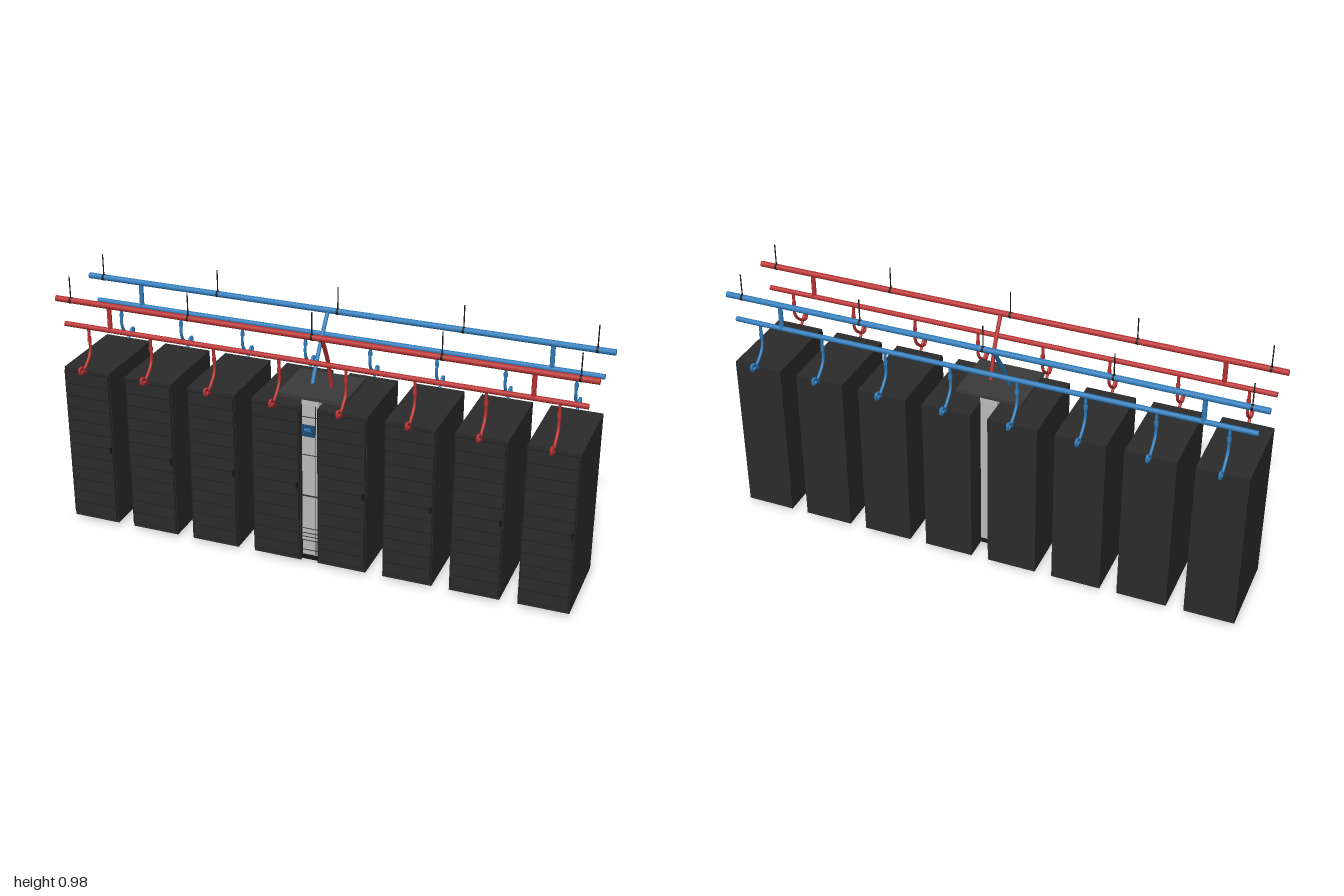
import * as THREE from 'three';

const mat = (color) => new THREE.MeshStandardMaterial({ color });
const CASE = mat(0x2b2b2b), DOOR = mat(0x222222), DARK = mat(0x181818), PLATE = mat(0x3a3a3a);
const GREY = mat(0xbbbbbb), RED = mat(0xb83232), BLUE = mat(0x2f7cba), SCREEN = mat(0x1f4a70);

function box(parent, name, material, w, h, d, x, y, z) {
  const m = new THREE.Mesh(new THREE.BoxGeometry(w, h, d), material);
  m.name = name;
  m.position.set(x, y, z);
  parent.add(m);
  return m;
}

// Straight round bar along the x or y axis
function bar(parent, name, material, r, length, axis, x, y, z) {
  const m = new THREE.Mesh(new THREE.CylinderGeometry(r, r, length, 16), material);
  m.name = name;
  if (axis === 'x') m.rotation.z = Math.PI / 2;
  m.position.set(x, y, z);
  parent.add(m);
}

// Bent pipe lying in a plane of constant x; points are [y, z]
function bentPipe(parent, name, material, r, x, points) {
  const path = new THREE.CatmullRomCurve3(points.map(([y, z]) => new THREE.Vector3(x, y, z)), false, 'centripetal');
  const geo = new THREE.TubeGeometry(path, points.length * 6, r, 10);
  const m = new THREE.Mesh(geo, material);
  m.name = name;
  parent.add(m);
}

// Cabinet with a slatted front door
function createRack(x) {
  const rack = new THREE.Group();
  rack.name = 'rack';
  rack.position.x = x;
  box(rack, 'rackCase', CASE, 0.185, 0.623, 0.327, 0, 0.3235, 0.0025);
  box(rack, 'rackDoor', DOOR, 0.181, 0.597, 0.005, 0, 0.3265, 0.17);
  for (let i = 0; i < 12; i++) {
    box(rack, 'doorSlat', CASE, 0.172, 0.043, 0.003, 0, 0.054 + i * 0.0495, 0.173);
  }
  box(rack, 'doorHandle', DARK, 0.006, 0.025, 0.008, 0.083, 0.325, 0.177);
  return rack;
}

// Cooling unit filling the middle gap
function createCoolingUnit() {
  const unit = new THREE.Group();
  unit.name = 'coolingUnit';
  box(unit, 'unitBody', GREY, 0.064, 0.624, 0.22, 0, 0.342, 0.04);
  box(unit, 'unitBase', DARK, 0.064, 0.02, 0.22, 0, 0.02, 0.04);
  box(unit, 'topPlate', PLATE, 0.25, 0.012, 0.222, 0, 0.661, 0.04);
  for (const y of [0.639, 0.646, 0.653]) box(unit, 'topRib', GREY, 0.066, 0.004, 0.222, 0, y, 0.04);
  for (const y of [0.05, 0.09, 0.105, 0.12, 0.14, 0.275, 0.44, 0.59]) {
    box(unit, 'panelSeam', PLATE, 0.062, y === 0.275 ? 0.006 : 0.003, 0.002, 0, y, 0.1505);
  }
  box(unit, 'panelEdge', PLATE, 0.002, 0.6, 0.002, 0.02, 0.335, 0.1505);
  box(unit, 'display', SCREEN, 0.05, 0.045, 0.005, -0.007, 0.537, 0.152);
  box(unit, 'displayGlass', BLUE, 0.025, 0.012, 0.002, -0.01, 0.542, 0.155);
  for (const x of [-0.105, 0.105]) {
    for (const z of [0.132, -0.053]) bar(unit, 'foot', DARK, 0.007, 0.014, 'y', x, 0.007, z);
  }
  return unit;
}

// One supply or return line; s is +1 at the front and -1 at the back
function createPipeLine(name, material, s, rackXs) {
  const line = new THREE.Group();
  line.name = name;
  const z = (d) => 0.007 + s * d;
  const run = z(0.125);
  bar(line, 'mainPipe', material, 0.011, 2, 'x', 0, 0.888, run);
  bar(line, 'lowerPipe', material, 0.0095, 1.94, 'x', 0, 0.793, run);
  for (const x of [-0.785, 0.785]) bar(line, 'riser', material, 0.0085, 0.095, 'y', x, 0.84, run);
  for (const x of [-0.94, -0.47, 0, 0.467, 0.937]) {
    bar(line, 'hangerRod', DARK, 0.0022, 0.1, 'y', x, 0.93, run);
    bar(line, 'hangerClamp', DARK, 0.0118, 0.008, 'x', x, 0.888, run);
  }
  // Curved drop with a hooked end at each rack
  for (const x of rackXs) {
    bentPipe(line, 'drop', material, 0.0055, x, [
      [0.793, z(0.125)], [0.75, z(0.124)], [0.71, z(0.122)], [0.685, z(0.131)], [0.66, z(0.156)],
      [0.645, z(0.178)], [0.637, z(0.2)], [0.643, z(0.209)], [0.659, z(0.209)],
      [0.66, z(0.196)], [0.645, z(0.18)], [0.618, z(0.157)],
    ]);
    bar(line, 'dropCollar', material, 0.0075, 0.014, 'y', x, 0.745, z(0.124));
  }
  // Feed to the cooling unit
  const feed = s > 0
    ? [[0.885, 0.132], [0.83, 0.1], [0.77, 0.071], [0.71, 0.052], [0.662, 0.038]]
    : [[0.885, -0.118], [0.83, -0.075], [0.77, -0.032], [0.71, 0.008], [0.662, 0.034]];
  bentPipe(line, 'unitFeed', material, 0.0075, s > 0 ? 0.037 : -0.038, feed);
  return line;
}

export function createModel() {
  const model = new THREE.Group();
  model.name = 'cooledRackRow';
  const rackXs = [];
  for (let i = 0; i < 8; i++) rackXs.push(-0.875 + i * 0.25);
  for (const x of rackXs) model.add(createRack(x));
  model.add(createCoolingUnit());
  model.add(createPipeLine('returnLine', RED, 1, rackXs));
  model.add(createPipeLine('supplyLine', BLUE, -1, rackXs));
  return model;
}
